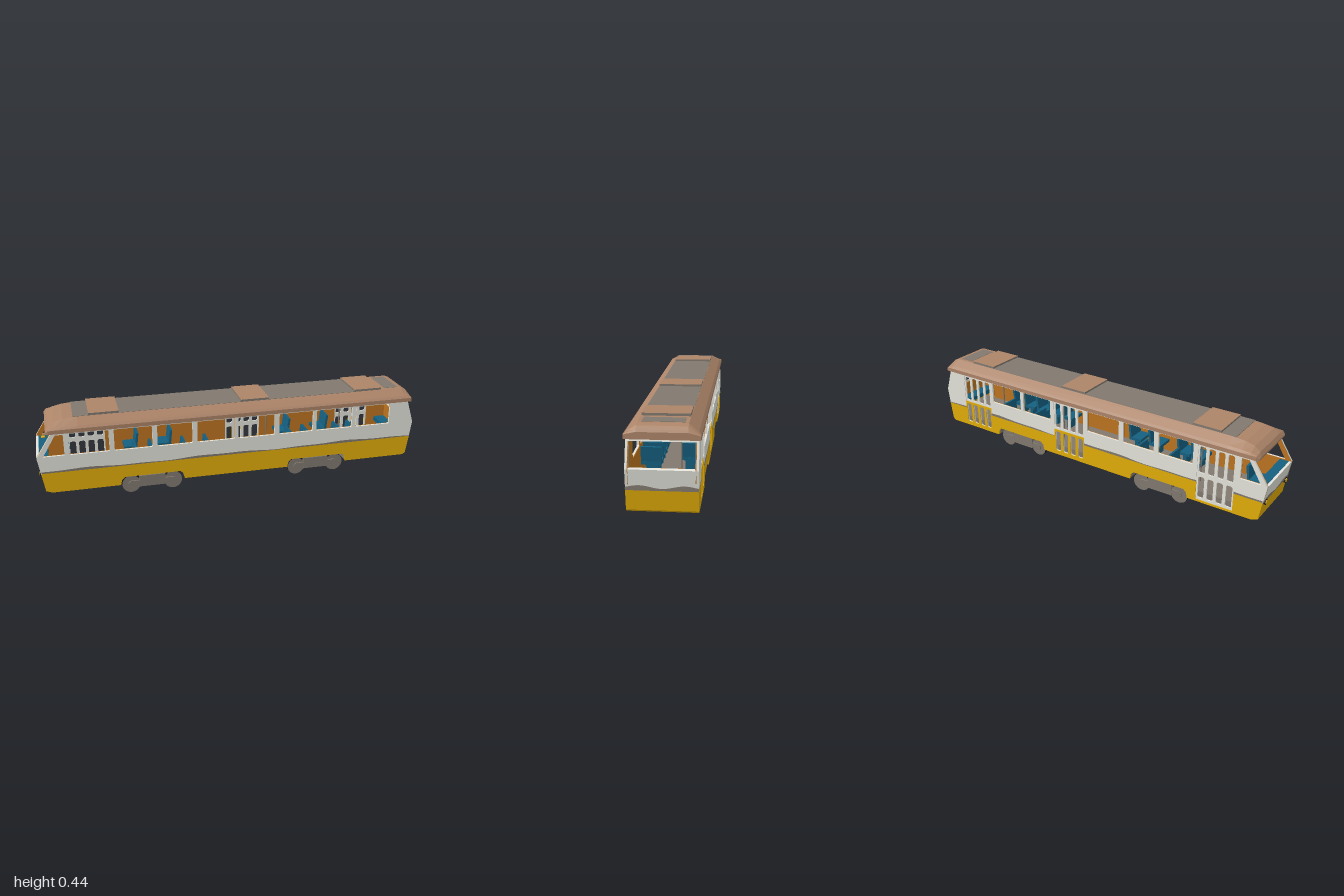
import * as THREE from 'three';

const mat = (name, color, side = THREE.FrontSide) => {
  const m = new THREE.MeshStandardMaterial({ color, side });
  m.name = name;
  return m;
};

export function createModel() {
  const pale = mat('pale grey paint', 0xe4e4dc);
  const yellow = mat('yellow paint', 0xe2ad08);
  const grey = mat('dark grey paint', 0x81796f);
  const brown = mat('roof brown', 0xac8468, THREE.DoubleSide);
  const lining = mat('orange brown lining', 0xbd7420);
  const teal = mat('teal upholstery', 0x156080);
  const black = mat('black metal', 0x151515);

  const model = new THREE.Group();
  model.name = 'tram';
  const add = (name, geo, m, x = 0, y = 0, z = 0, parent = model) => {
    const mesh = new THREE.Mesh(geo, m);
    mesh.name = name;
    mesh.position.set(x, y, z);
    parent.add(mesh);
    return mesh;
  };
  // box given by its limits
  const box = (name, m, x0, x1, y0, y1, z0, z1, parent) =>
    add(name, new THREE.BoxGeometry(x1 - x0, y1 - y0, z1 - z0), m,
      (x0 + x1) / 2, (y0 + y1) / 2, (z0 + z1) / 2, parent);
  const poly = (pts) => new THREE.Shape(pts.map(([x, y]) => new THREE.Vector2(x, y)));
  const extrude = (shape, depth) =>
    new THREE.ExtrudeGeometry(shape, { depth, bevelEnabled: false, curveSegments: 4 });
  const roundHole = (x0, x1, y0, y1, r) => {
    const p = new THREE.Path();
    p.absarc(x1 - r, y1 - r, r, 0, Math.PI / 2);
    p.absarc(x0 + r, y1 - r, r, Math.PI / 2, Math.PI);
    p.absarc(x0 + r, y0 + r, r, Math.PI, Math.PI * 1.5);
    p.absarc(x1 - r, y0 + r, r, Math.PI * 1.5, Math.PI * 2);
    return p;
  };

  // openings along the sides; three of them are doors on the back side
  const windows = [[-0.84, -0.645], [-0.62, -0.43], [-0.405, -0.225], [-0.2, -0.005],
    [0.015, 0.21], [0.235, 0.42], [0.44, 0.64], [0.66, 0.855]];
  const doorIndex = [0, 4, 7];
  const doorways = doorIndex.map((i) => windows[i]);
  // notches cut by the doorways into an edge that runs from right to left
  const notches = (edge, y) => [...doorways].reverse()
    .flatMap(([a, b]) => [[b, edge], [b, y], [a, y], [a, edge]]);
  const cabWindow = [[-0.968, 0.253], [-0.865, 0.253], [-0.865, 0.362], [-0.903, 0.362]];
  const upperWall = (doors, bottom, x0, x1) => {
    const s = poly([[x0, bottom], [-0.985, 0.16], [-1, 0.25], [-0.92, 0.375], [0.955, 0.375],
      [0.995, 0.25], [0.983, 0.16], [x1, bottom], ...(doors ? notches(bottom, 0.366) : [])]);
    s.holes.push(poly(cabWindow));
    windows.forEach(([a, b], i) => {
      if (!doors || !doorIndex.includes(i)) s.holes.push(roundHole(a, b, 0.252, 0.365, 0.007));
    });
    return s;
  };
  // lower skirt with wheel cutouts
  const cutouts = [[-0.6, -0.27], [0.285, 0.615]];
  const skirt = (doors) => {
    const pts = [[-0.985, 0.16], [-0.97, 0.068], [-0.94, 0.057]];
    cutouts.forEach(([a, b]) => pts.push([a, 0.057], [a + 0.006, 0.085], [a + 0.022, 0.1],
      [b - 0.022, 0.1], [b - 0.006, 0.085], [b, 0.057]));
    pts.push([0.955, 0.057], [0.97, 0.068], [0.983, 0.16]);
    return poly(doors ? [...pts, ...notches(0.16, 0.068)] : pts);
  };
  // wavy band: flat bottom, curved top
  const band = (x0, x1, y0, top) => {
    const pts = [[x0, y0], [x1, y0]];
    for (let i = 0; i <= 40; i++) {
      const x = x1 + (x0 - x1) * i / 40;
      pts.push([x, top(x)]);
    }
    return poly(pts);
  };
  const sideWave = (x) => 0.173 + 0.004 * Math.sin(x * 9 + 2.4) + 0.002 * Math.sin(x * 23);
  const stripeRuns = [[-0.984, -0.84], [-0.645, 0.015], [0.21, 0.66], [0.855, 0.982]];

  for (const s of [1, -1]) {
    const doors = s < 0, z = s > 0 ? 0.142 : -0.152, faceZ = s > 0 ? 0.151 : -0.153;
    add('upperSideWall', extrude(upperWall(doors, 0.16, -0.985, 0.983), 0.01), pale, 0, 0, z);
    add('sideSkirt', extrude(skirt(doors), 0.01), yellow, 0, 0, z);
    add('sideLining', extrude(upperWall(doors, 0.108, -0.965, 0.965), 0.003), lining, 0, 0, s > 0 ? 0.1385 : -0.1415);
    for (const [a, b] of doors ? stripeRuns : [[-0.984, 0.982]]) {
      add('sideStripe', extrude(band(a, b, 0.165, sideWave), 0.002), grey, 0, 0, faceZ);
      box('stripeEdge', yellow, a, b, 0.158, 0.165, faceZ, faceZ + 0.002);
    }
  }

  // slotted doors; all but the cab door are yellow below the middle rail
  const leaf = ([a, b], y0, y1, rows) => {
    const s = poly([[a, y0], [b, y0], [b, y1], [a, y1]]), pitch = (b - a) / 4;
    for (const [lo, hi] of rows) {
      for (let k = 0; k < 4; k++) {
        s.holes.push(roundHole(a + k * pitch + 0.008, a + (k + 1) * pitch - 0.008, lo, hi, 0.01));
      }
    }
    return s;
  };
  doorways.forEach((d, i) => {
    add('door', extrude(leaf(d, 0.068, 0.366, [[0.08, 0.195], [0.218, 0.358]]), 0.007), pale, 0, 0, -0.149);
    if (i > 0) add('doorLowerFace', extrude(leaf(d, 0.068, 0.207, [[0.08, 0.195]]), 0.003), yellow, 0, 0, -0.152);
  });

  // end panels, spanning between the side walls
  const across = (name, pts, m) => add(name, extrude(poly(pts), 0.284), m, 0, 0, -0.142);
  const frontX = (y) => -0.985 - (y - 0.16) / 6;
  const rearX = (y) => 0.983 + (y - 0.16) * 0.133;
  across('frontPanel', [[-0.985, 0.16], [-0.973, 0.16], [-0.988, 0.25], [-1, 0.25]], pale);
  across('frontSkirt', [[-0.94, 0.057], [-0.928, 0.057], [-0.958, 0.07], [-0.973, 0.16], [-0.985, 0.16], [-0.97, 0.068]], yellow);
  across('frontHeader', [[-0.93, 0.36], [-0.915, 0.36], [-0.905, 0.375], [-0.92, 0.375]], pale);
  across('rearPanel', [[0.983, 0.16], [0.995, 0.25], [0.983, 0.255], [0.971, 0.16]], pale);
  across('rearSkirt', [[0.955, 0.057], [0.97, 0.068], [0.983, 0.16], [0.971, 0.16], [0.958, 0.07], [0.943, 0.057]], yellow);
  across('rearHeader', [[0.96, 0.36], [0.955, 0.375], [0.94, 0.375], [0.947, 0.36]], pale);
  box('frontLining', lining, -0.972, -0.968, 0.108, 0.23, -0.138, 0.138);
  box('rearLining', lining, 0.966, 0.97, 0.108, 0.25, -0.138, 0.138);
  for (const z of [-0.142, 0.136]) {
    const jamb = [[0.988, 0.253], [0.957, 0.361], [0.949, 0.361], [0.978, 0.253]];
    add('rearWindowJamb', extrude(poly(jamb), 0.006), grey, 0, 0, z);
  }
  for (const [s, endX] of [[1, rearX], [-1, frontX]]) {
    const g = extrude(band(-0.152, 0.152, 0.158, (z) => 0.174 - 0.007 * Math.cos(z * Math.PI / 0.095)), 0.003);
    g.rotateY(s * Math.PI / 2);
    const p = g.attributes.position;
    for (let i = 0; i < p.count; i++) p.setX(i, p.getX(i) + endX(p.getY(i)) - s * 0.001);
    add('endStripe', g, grey);
  }
  // headlights
  for (const z of [-0.12, 0.12]) {
    const ring = new THREE.CylinderGeometry(0.014, 0.014, 0.012, 16).rotateZ(Math.PI / 2);
    add('headlightRing', ring, black, -0.985, 0.155, z);
    const lens = new THREE.CylinderGeometry(0.01, 0.01, 0.004, 16).rotateZ(Math.PI / 2);
    add('headlightLens', lens, yellow, -0.992, 0.155, z);
  }

  // roof lofted from cross-sections: x, half width, shoulder height, crown half width, crown height
  const sections = [[-0.948, 0.152, 0.378, 0.13, 0.38], [-0.935, 0.16, 0.39, 0.115, 0.398],
    [-0.905, 0.16, 0.391, 0.108, 0.416], [-0.86, 0.16, 0.391, 0.107, 0.427], [-0.79, 0.16, 0.391, 0.107, 0.433],
    [0.935, 0.16, 0.391, 0.107, 0.433], [0.955, 0.16, 0.391, 0.107, 0.425], [0.968, 0.16, 0.391, 0.107, 0.411],
    [0.974, 0.159, 0.389, 0.107, 0.402]];
  const pos = [], loops = sections.map(([x, w, sh, c, t]) => [[x, 0.371, w], [x, sh, w],
    [x, sh + (t - sh) * 0.28, w - (w - c) * 0.2], [x, t, c], [x, t, -c],
    [x, sh + (t - sh) * 0.28, -w + (w - c) * 0.2], [x, sh, -w], [x, 0.371, -w]]);
  for (let i = 0; i < loops.length - 1; i++) {
    for (let j = 0; j < 8; j++) {
      const k = (j + 1) % 8, a = loops[i][j], b = loops[i + 1][j], c = loops[i + 1][k], d = loops[i][k];
      pos.push(...a, ...b, ...c, ...a, ...c, ...d);
    }
  }
  const first = loops[0], last = loops[loops.length - 1];
  for (let j = 1; j < 7; j++) {
    pos.push(...first[0], ...first[j + 1], ...first[j], ...last[0], ...last[j], ...last[j + 1]);
  }
  const roof = new THREE.BufferGeometry();
  roof.setAttribute('position', new THREE.Float32BufferAttribute(pos, 3));
  roof.computeVertexNormals();
  add('roof', roof, brown);
  box('roofDeck', grey, -0.81, 0.815, 0.43, 0.4345, -0.106, 0.106);
  box('rearRoofDeck', grey, 0.845, 0.92, 0.43, 0.4345, -0.09, 0.09);
  for (const x of [-0.66, 0.115, 0.74]) {
    box('roofHatch', [grey, grey, brown, grey, grey, grey], x - 0.075, x + 0.075, 0.432, 0.444, -0.105, 0.105);
  }
  box('ceiling', grey, -0.9, 0.94, 0.367, 0.37, -0.138, 0.138);

  // floor and belly
  box('floor', grey, -0.965, 0.965, 0.1, 0.109, -0.141, 0.141);
  for (const [a, b] of [[-0.94, -0.6], [-0.27, 0.285], [0.615, 0.955]]) {
    box('belly', grey, a, b, 0.0575, 0.1, -0.142, 0.142);
  }

  // seats, facing the cab
  const seat = (x, z) => {
    const g = new THREE.Group();
    g.name = 'seat';
    g.position.set(x, 0, z);
    model.add(g);
    box('seatCushion', teal, -0.035, 0.035, 0.165, 0.18, -0.047, 0.047, g);
    const back = box('seatBack', teal, 0.026, 0.038, 0.175, 0.25, -0.047, 0.047, g);
    back.rotation.z = -0.12;
    box('seatLeg', teal, -0.01, 0.01, 0.108, 0.165, -0.03, 0.03, g);
  };
  for (const x of [-0.55, -0.47, -0.3, -0.18, 0.27, 0.36, 0.45, 0.54, 0.62]) seat(x, 0.088);
  for (const x of [-0.52, -0.34, 0.32, 0.54]) seat(x, -0.088);
  seat(-0.88, 0.03);
  box('rearBench', teal, 0.9, 0.96, 0.155, 0.18, -0.13, 0.13);
  // cab desk and its controller
  box('cabDesk', teal, -0.987, -0.942, 0.232, 0.249, -0.138, 0.138);
  add('controller', new THREE.CylinderGeometry(0.011, 0.011, 0.012, 10), yellow, -0.964, 0.249, -0.11);
  for (const x of [-0.617, 0.222, 0.65]) {
    add('handPole', new THREE.CylinderGeometry(0.004, 0.004, 0.26, 8), grey, x, 0.238, -0.05);
  }

  // bogies
  for (const cx of [-0.437, 0.45]) {
    const g = new THREE.Group();
    g.name = 'bogie';
    g.position.x = cx;
    model.add(g);
    for (const s of [-1, 1]) {
      for (const dx of [-0.108, 0.108]) {
        const wheel = new THREE.CylinderGeometry(0.047, 0.047, 0.02, 24).rotateX(Math.PI / 2);
        add('wheel', wheel, [black, grey, grey], dx, 0.047, s * 0.12, g);
        const hub = new THREE.CylinderGeometry(0.016, 0.016, 0.01, 12).rotateX(Math.PI / 2);
        add('axleBox', hub, grey, dx, 0.047, s * 0.132, g);
      }
      const z = s * 0.13;
      box('sideFrame', grey, -0.11, 0.11, 0.04, 0.065, z - 0.007, z + 0.007, g);
      box('springBlock', grey, -0.068, 0.068, 0.03, 0.09, z - 0.008, z + 0.008, g);
      box('motorBeam', black, -0.095, 0.095, 0.028, 0.085, s * 0.09 - 0.015, s * 0.09 + 0.015, g);
    }
    box('bolster', grey, -0.04, 0.04, 0.06, 0.1, -0.1, 0.1, g);
  }
  return model;
}
